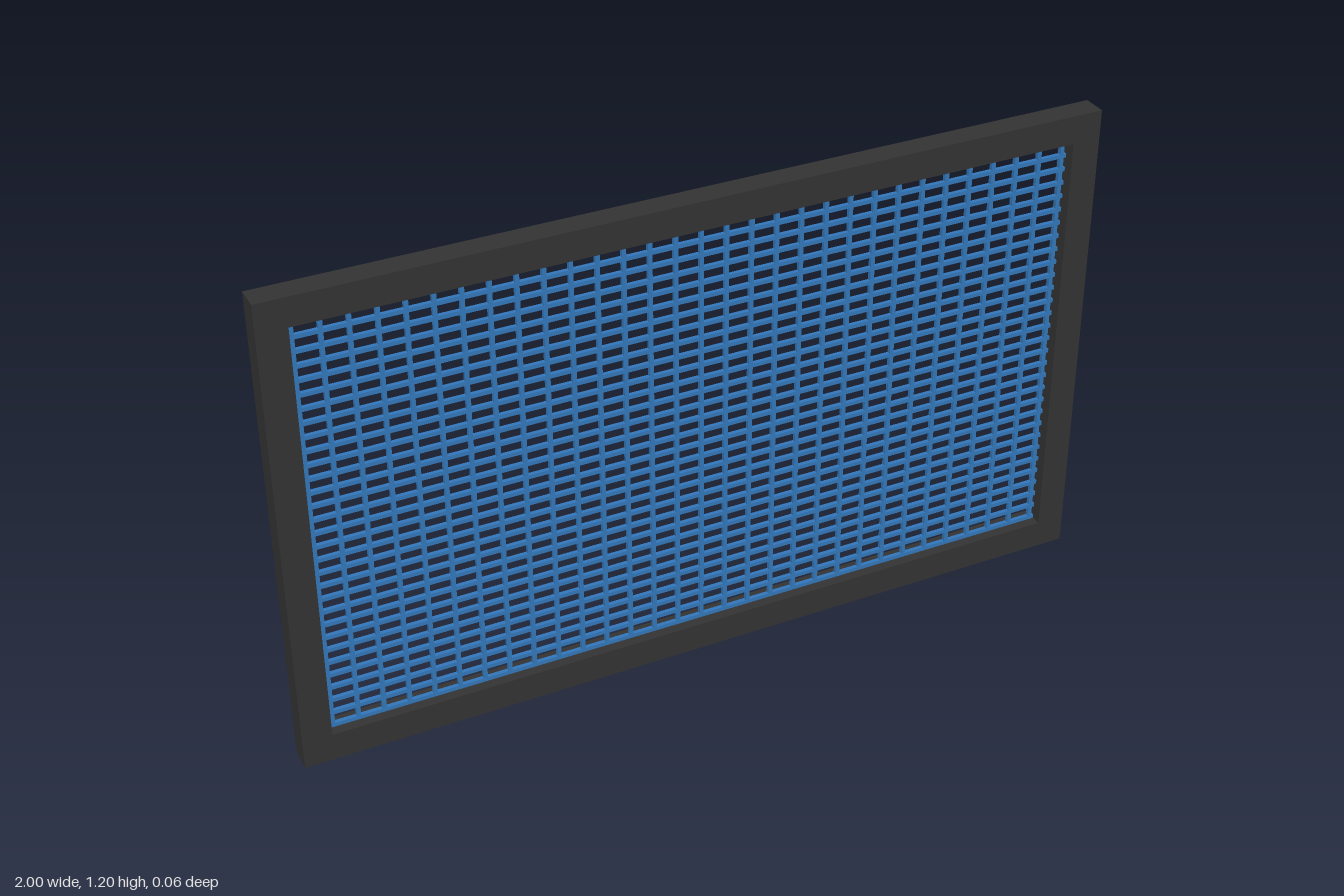
import * as THREE from 'three';

const W = 2, H = 1.195, DEPTH = 0.06, BORDER = 0.07;
const DIVISIONS = 30, WIRE = 0.01;

// Rectangle centred on x = 0, used for the frame outline and its opening
function rectangle(PathType, width, height) {
  const x = width / 2, y = height / 2;
  return new PathType([
    new THREE.Vector2(-x, -y), new THREE.Vector2(x, -y),
    new THREE.Vector2(x, y), new THREE.Vector2(-x, y),
  ]);
}

export function createModel() {
  const model = new THREE.Group();
  model.name = 'meshScreen';
  const frameMaterial = new THREE.MeshStandardMaterial({ color: 0x333333 });
  const wireMaterial = new THREE.MeshStandardMaterial({ color: 0x3377bb });

  // Rectangular frame with an open middle
  const outline = rectangle(THREE.Shape, W, H);
  outline.holes.push(rectangle(THREE.Path, W - 2 * BORDER, H - 2 * BORDER));
  const frameGeometry = new THREE.ExtrudeGeometry(outline, { depth: DEPTH, bevelEnabled: false });
  frameGeometry.translate(0, H / 2, -DEPTH / 2);
  const frame = new THREE.Mesh(frameGeometry, frameMaterial);
  frame.name = 'frame';
  model.add(frame);

  // Grid of thin square wires filling the opening
  const grid = new THREE.Group();
  grid.name = 'wireGrid';
  grid.position.y = H / 2;
  const innerW = W - 2 * BORDER, innerH = H - 2 * BORDER;
  const verticalGeometry = new THREE.BoxGeometry(WIRE, innerH, WIRE);
  const horizontalGeometry = new THREE.BoxGeometry(innerW, WIRE, WIRE);
  const spanX = 1.838, spanY = innerH - WIRE;
  for (let i = 0; i <= DIVISIONS; i++) {
    const t = i / DIVISIONS - 0.5;
    const vertical = new THREE.Mesh(verticalGeometry, wireMaterial);
    vertical.name = 'verticalWire';
    vertical.position.x = t * spanX;
    const horizontal = new THREE.Mesh(horizontalGeometry, wireMaterial);
    horizontal.name = 'horizontalWire';
    horizontal.position.y = t * spanY;
    grid.add(vertical, horizontal);
  }
  model.add(grid);
  return model;
}
